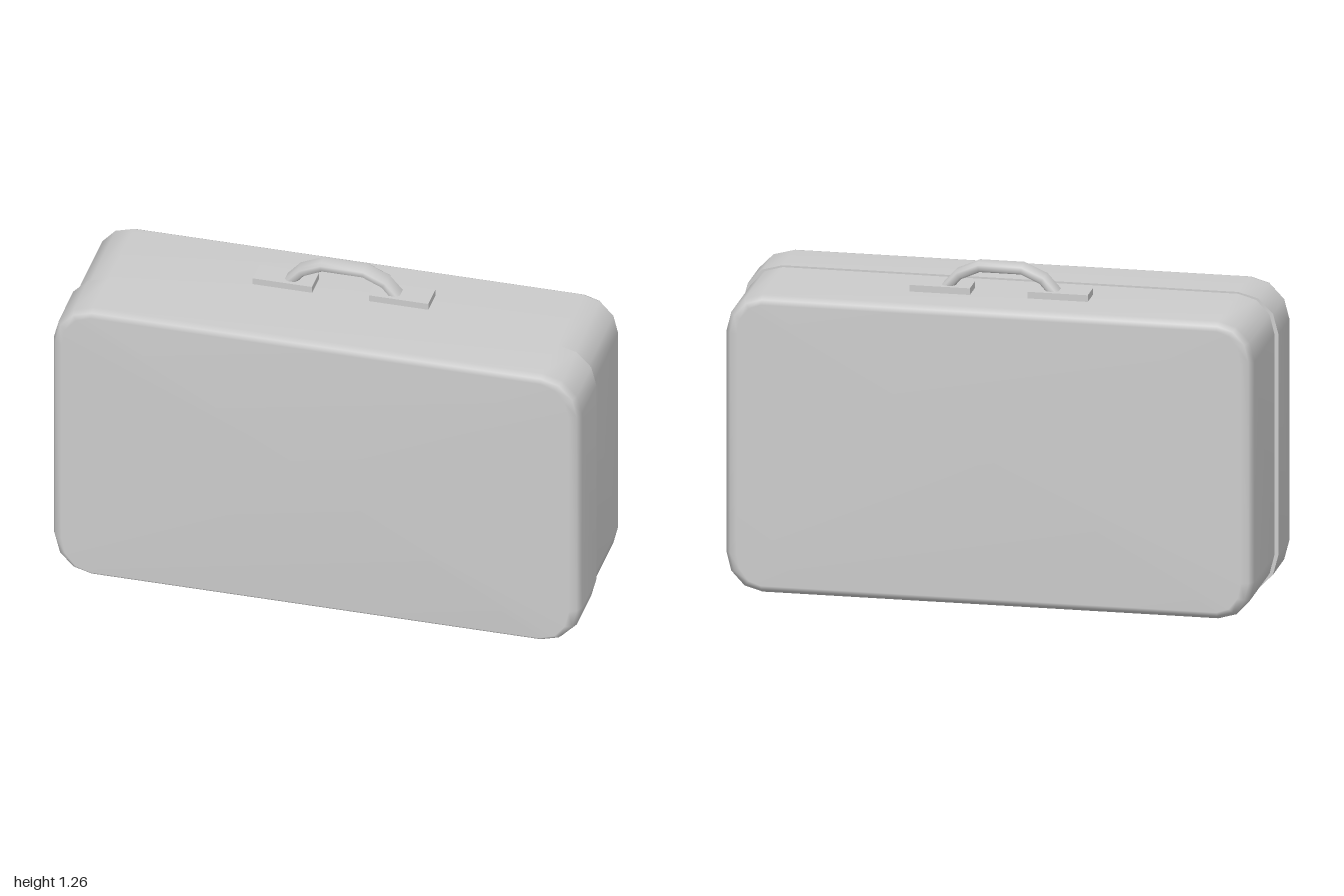
import * as THREE from 'three';

const material = new THREE.MeshStandardMaterial({ color: 0xcccccc });
const MID_Y = 0.573;

// Skins a list of equal-length rings; a repeated ring makes a hard edge.
function loft(rings, capStart, capEnd) {
  const n = rings[0].length;
  const points = rings.flat();
  const index = [];
  for (let s = 0; s < rings.length - 1; s++) {
    if (rings[s][0].distanceTo(rings[s + 1][0]) < 1e-6) continue;
    for (let i = 0; i < n; i++) {
      const j = (i + 1) % n;
      const a = s * n + i, b = s * n + j, c = a + n, d = b + n;
      index.push(a, b, d, a, d, c);
    }
  }
  const cap = (s, flip) => {
    const centre = new THREE.Vector3();
    rings[s].forEach((p) => centre.addScaledVector(p, 1 / n));
    const c = points.push(centre) - 1;
    for (let i = 0; i < n; i++) {
      const a = s * n + i, b = s * n + (i + 1) % n;
      index.push(c, flip ? b : a, flip ? a : b);
    }
  };
  if (capStart) cap(0, true);
  if (capEnd) cap(rings.length - 1, false);
  const geometry = new THREE.BufferGeometry().setFromPoints(points);
  geometry.setIndex(index);
  geometry.computeVertexNormals();
  return geometry;
}

// Upright rounded rectangle with three facets per corner.
function caseRing([z, hx, hy]) {
  const cx = 0.85, cy = 0.42, ring = [];
  for (let q = 0; q < 4; q++) {
    const sx = q === 0 || q === 3 ? 1 : -1;
    const sy = q < 2 ? 1 : -1;
    for (let k = 0; k <= 3; k++) {
      const a = (q + k / 3) * Math.PI / 2;
      ring.push(new THREE.Vector3(
        sx * cx + (hx - cx) * Math.cos(a),
        MID_Y + sy * cy + (hy - cy) * Math.sin(a), z));
    }
  }
  return ring;
}

// Flat octagonal section swept along a path in the xy plane.
function handleGeometry(path, z, halfWidth, halfHeight) {
  const section = [
    [1, -0.55], [1, 0.55], [0.6, 1], [-0.6, 1],
    [-1, 0.55], [-1, -0.55], [-0.6, -1], [0.6, -1],
  ];
  const rings = path.map(([x, y], i) => {
    const p = path[Math.max(i - 1, 0)], q = path[Math.min(i + 1, path.length - 1)];
    const t = new THREE.Vector2(q[0] - p[0], q[1] - p[1]).normalize();
    return section.map(([w, h]) => new THREE.Vector3(
      x - t.y * h * halfHeight, y + t.x * h * halfHeight, z - w * halfWidth));
  });
  // Section order is reversed so that the faces point outwards.
  rings.forEach((r) => r.reverse());
  const normalCheck = rings[0];
  const u = normalCheck[1].clone().sub(normalCheck[0]);
  const v = normalCheck[2].clone().sub(normalCheck[1]);
  const along = new THREE.Vector3(path[1][0] - path[0][0], path[1][1] - path[0][1], 0);
  if (u.cross(v).dot(along) < 0) rings.forEach((r) => r.reverse());
  return loft(rings, false, false);
}

export function createModel() {
  const model = new THREE.Group();
  const add = (name, geometry) => {
    const mesh = new THREE.Mesh(geometry, material);
    mesh.name = name;
    model.add(mesh);
    return mesh;
  };

  // Deep rear shell, its open end tucked inside the lid
  add('rearShell', loft([
    [-0.318, 0.94, 0.535], [-0.308, 0.967, 0.552], [-0.285, 0.985, 0.566], [0.1, 0.985, 0.566],
  ].map(caseRing), true, false));

  // Front lid, slightly larger, with a narrow lip where it meets the shell
  add('frontLid', loft([
    [0.075, 0.97, 0.555], [0.075, 1, 0.573], [0.075, 1, 0.573],
    [0.275, 1, 0.573], [0.303, 0.987, 0.566], [0.318, 0.96, 0.552],
  ].map(caseRing), false, true));

  // Handle mounting plates
  for (const side of [1, -1]) {
    const plate = add(side > 0 ? 'leftHandlePlate' : 'rightHandlePlate',
      new THREE.BoxGeometry(0.225, 0.03, 0.098));
    plate.position.set(side * 0.22, 1.149, -0.089);
  }

  // Arched carrying handle
  const half = [[0.08, 1.238], [0.157, 1.204], [0.205, 1.15]];
  const path = [...half.map(([x, y]) => [-x, y]).reverse(), ...half];
  add('handle', handleGeometry(path, -0.088, 0.033, 0.019));

  return model;
}
